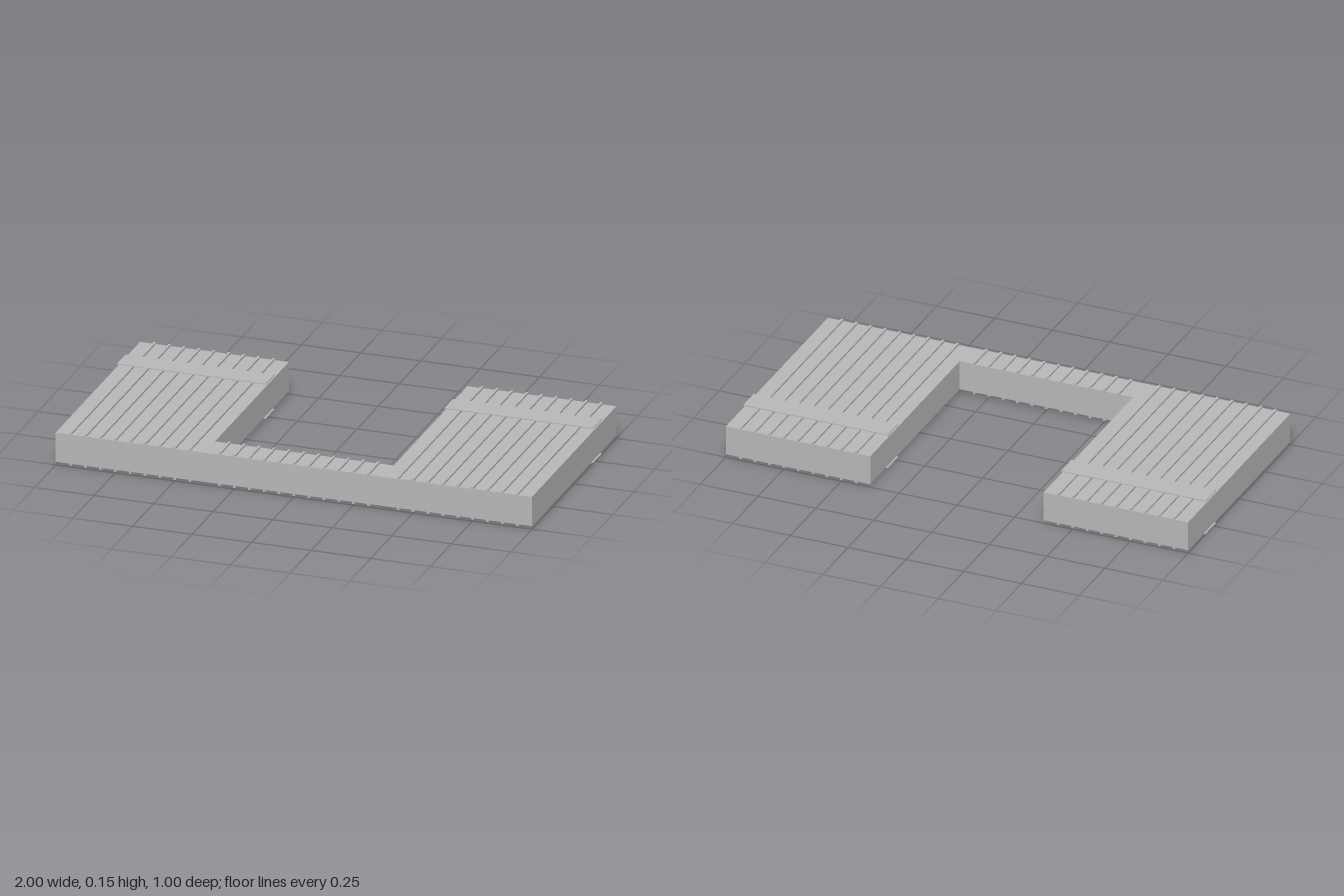
import * as THREE from 'three';

export function createModel() {
  const model = new THREE.Group();
  const grey = new THREE.MeshStandardMaterial({ color: 0xb8b8b8 });
  grey.name = 'grey';

  const MID = 0.0755;   // mid height of the slab
  const HALF = 0.0625;  // half thickness of the slab
  const RIB = 0.0085;   // rib height
  const BAR = 0.0045;   // crossbar thickness
  const PITCH = 0.0625; // rib spacing

  // U-shaped slab: two wings joined along the front
  const outline = new THREE.Shape([
    [-1, -0.5], [1, -0.5], [1, 0.5], [0.375, 0.5],
    [0.375, -0.375], [-0.375, -0.375], [-0.375, 0.5], [-1, 0.5],
  ].map(([x, y]) => new THREE.Vector2(x, y)));
  const slabGeometry = new THREE.ExtrudeGeometry(outline, { depth: HALF * 2, bevelEnabled: false });
  slabGeometry.rotateX(-Math.PI / 2);
  const slab = new THREE.Mesh(slabGeometry, grey);
  slab.name = 'slab';
  slab.position.y = MID - HALF;
  model.add(slab);

  function addBox(parent, name, w, h, d, x, y, z) {
    const mesh = new THREE.Mesh(new THREE.BoxGeometry(w, h, d), grey);
    mesh.name = name;
    mesh.position.set(x, y, z);
    parent.add(mesh);
  }

  // Ribs and crossbars repeat on the top and the underside
  for (const side of [1, -1]) {
    const face = new THREE.Group();
    face.name = side > 0 ? 'topDetails' : 'undersideDetails';
    const ribY = MID + side * (HALF + RIB / 2);
    const barY = MID + side * (HALF + RIB + BAR / 2);

    // Short ribs across the front bridge
    for (let i = -5; i <= 5; i++) {
      addBox(face, 'bridgeRib', 0.01, RIB, 0.125, i * PITCH, ribY, 0.4375);
    }
    for (const wing of [1, -1]) {
      // Long ribs along each wing
      for (let i = 7; i <= 15; i++) {
        addBox(face, 'wingRib', 0.01, RIB, 1, wing * i * PITCH, ribY, 0);
      }
      // Flat strip lying across the ribs near the back
      addBox(face, 'crossbar', 0.625, BAR, 0.1, wing * 0.6875, barY, -0.277);
    }
    model.add(face);
  }
  return model;
}
